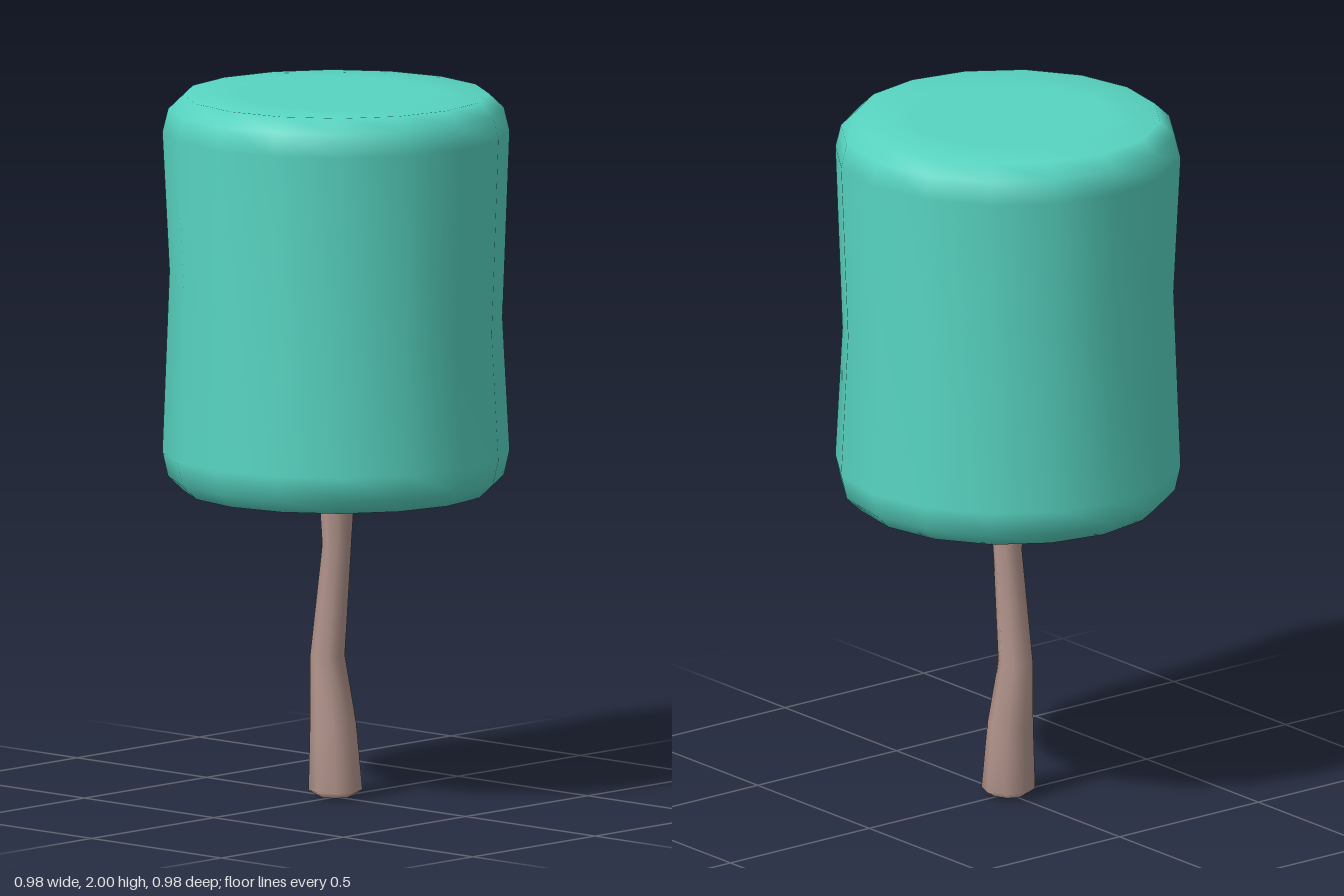
import * as THREE from 'three';
import { mergeVertices } from 'three/addons/utils/BufferGeometryUtils.js';

// Lathe a profile of [radius, y], bend its vertices by a rule, then smooth across the seam.
function bentLathe(profile, sides, bend) {
  const points = profile.map(([r, y]) => new THREE.Vector2(r, y));
  const lathe = new THREE.LatheGeometry(points, sides);
  const position = lathe.attributes.position;
  const v = new THREE.Vector3();
  for (let i = 0; i < position.count; i++) {
    v.fromBufferAttribute(position, i);
    bend(v, i % profile.length);
    position.setXYZ(i, v.x, v.y, v.z);
  }
  lathe.deleteAttribute('uv');
  lathe.deleteAttribute('normal');
  const geometry = mergeVertices(lathe, 1e-4);
  geometry.computeVertexNormals();
  return geometry;
}

export function createModel() {
  const group = new THREE.Group();
  const leafTeal = new THREE.MeshStandardMaterial({ color: 0x58d5c2 });
  leafTeal.name = 'leafTeal';
  const barkBrown = new THREE.MeshStandardMaterial({ color: 0xb2948c });
  barkBrown.name = 'barkBrown';

  // Drum-shaped crown with rounded rims and a slightly tilted waist
  const crownProfile = [
    [0, 0.875], [0.28, 0.875], [0.43, 0.875], [0.472, 0.915], [0.488, 0.985],
    [0.468, 1.43],
    [0.488, 1.895], [0.472, 1.96], [0.43, 2], [0.28, 2], [0, 2],
  ];
  const waist = 5;
  const crown = new THREE.Mesh(bentLathe(crownProfile, 16, (v, ring) => {
    if (ring === waist) v.y -= v.z * 0.21;
  }), leafTeal);
  crown.name = 'crown';

  // Crooked trunk: each ring has its own centre [x, z]
  const trunkProfile = [
    [0, 0], [0.05, 0.003], [0.076, 0.02], [0.065, 0.21], [0.049, 0.4],
    [0.041, 0.72], [0.051, 0.88], [0.051, 0.92], [0, 0.92],
  ];
  const trunkCentres = [
    [0, -0.004], [0, -0.004], [0.002, -0.004], [0.003, -0.014], [-0.003, -0.03],
    [-0.003, 0.006], [0, 0.003], [0, 0.003], [0, 0.003],
  ];
  const trunk = new THREE.Mesh(bentLathe(trunkProfile, 8, (v, ring) => {
    v.x += trunkCentres[ring][0];
    v.z += trunkCentres[ring][1];
  }), barkBrown);
  trunk.name = 'trunk';

  group.add(crown, trunk);
  return group;
}
